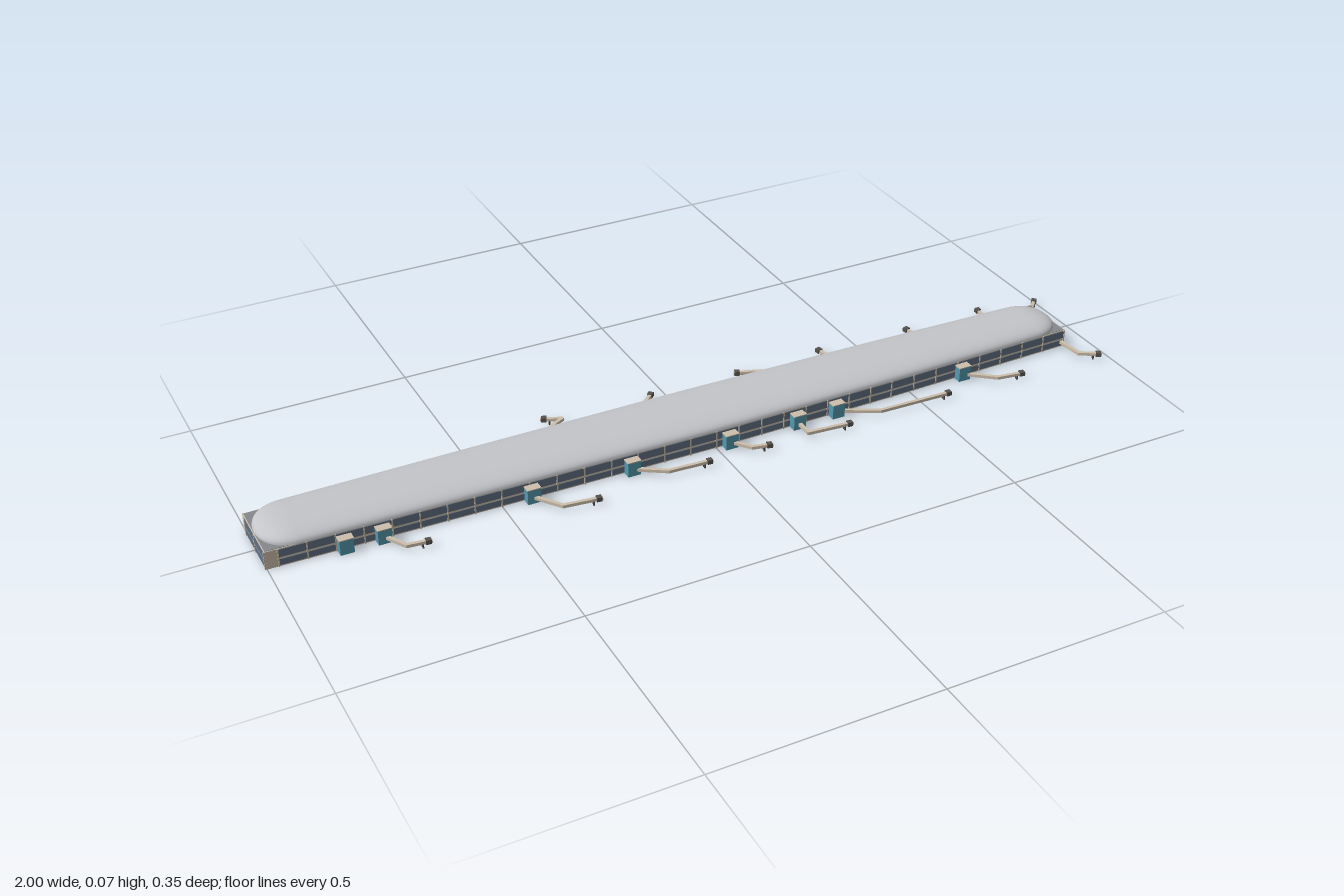
import * as THREE from 'three';

const mat = (name, color, side = THREE.FrontSide) => {
  const m = new THREE.MeshStandardMaterial({ color, side });
  m.name = name;
  return m;
};
const cream = mat('cream wall', 0xcdbfab);
const glass = mat('window blue grey', 0x5f7084);
const teal = mat('gate glass teal', 0x5498ae);
const roofGrey = mat('light roof grey', 0xc4c5c9, THREE.DoubleSide);
const slabGrey = mat('flat roof grey', 0x85888c, THREE.DoubleSide);
const dark = mat('dark metal', 0x55524e);

const X0 = -1, X1 = 0.935;
const WALL_TOP = 0.042;

// Plan outline of the slightly bowed hall: [x, back z, front z]
const PLAN = [
  [-1, -0.074, 0.073], [-0.5, -0.079, 0.083], [0, -0.08, 0.089],
  [0.45, -0.074, 0.084], [0.935, -0.061, 0.071],
];
function edge(x, k) {
  let i = 0;
  while (i < PLAN.length - 2 && x > PLAN[i + 1][0]) i++;
  const a = PLAN[i], b = PLAN[i + 1];
  return THREE.MathUtils.lerp(a[k], b[k], (x - a[0]) / (b[0] - a[0]));
}

// Upright bar between two plan points, from height y0 to y1
function bar(parent, name, a, b, y0, y1, t, material, extra = 0) {
  const dx = b[0] - a[0], dz = b[1] - a[1];
  const m = new THREE.Mesh(
    new THREE.BoxGeometry(Math.hypot(dx, dz) + extra, y1 - y0, t), material);
  m.position.set((a[0] + b[0]) / 2, (y0 + y1) / 2, (a[1] + b[1]) / 2);
  m.rotation.y = -Math.atan2(dz, dx);
  m.name = name;
  parent.add(m);
  return m;
}

// Wall with two window bands and regular mullions
function facade(parent, a, b, bays, blank) {
  const at = (t) => [a[0] + (b[0] - a[0]) * t, a[1] + (b[1] - a[1]) * t];
  bar(parent, 'wall', a, b, 0, WALL_TOP, 0.004, cream);
  const s = blank / Math.hypot(b[0] - a[0], b[1] - a[1]);
  // glass only on the outer face
  const dx = b[0] - a[0], dz = b[1] - a[1], l = Math.hypot(dx, dz);
  const n = [-dz / l * 0.002, dx / l * 0.002];
  const out = (p) => [p[0] + n[0], p[1] + n[1]];
  const p = out(at(s)), q = out(at(1));
  bar(parent, 'lowerWindows', p, q, 0.003, 0.017, 0.002, glass);
  bar(parent, 'upperWindows', p, q, 0.022, 0.04, 0.002, glass);
  for (let i = 0; i <= bays; i++) {
    const c = out(at(s + (1 - s) * i / bays));
    bar(parent, 'mullion', c, [c[0] + dx / l * 1e-4, c[1] + dz / l * 1e-4],
      0, WALL_TOP, 0.004, cream, 0.003);
  }
}

// Domed roof: rounded cross-sections lofted along x
function roofGeometry() {
  const xs = [], R = 0.075, ends = 10, mid = 24, N = 24;
  for (let i = 0; i < ends; i++) xs.push(X0 + R * (1 - Math.cos(i / ends * Math.PI / 2)));
  for (let i = 0; i <= mid; i++) xs.push(X0 + R + (X1 - X0 - 2 * R) * i / mid);
  for (let i = ends - 1; i >= 0; i--) xs.push(X1 - R * (1 - Math.cos(i / ends * Math.PI / 2)));
  const pos = [], idx = [];
  xs.forEach((x, i) => {
    const d = Math.min(1, Math.min(x - X0, X1 - x) / R);
    const f = Math.max(0.02, Math.pow(1 - Math.pow(1 - d, 2.2), 1 / 2.2));
    const zb = edge(x, 1) - 0.003, zf = edge(x, 2) + 0.004;
    const c = (zb + zf) / 2, w = (zf - zb) / 2 * f;
    for (let j = 0; j <= N; j++) {
      const t = j / N * Math.PI, co = Math.cos(t);
      const z = c + w * Math.sign(co) * Math.pow(Math.abs(co), 0.85);
      pos.push(x, WALL_TOP + 0.001 + 0.0255 * f * Math.pow(Math.max(0, Math.sin(t)), 0.85), z);
      if (i && j) {
        const k = i * (N + 1) + j, p = k - N - 1;
        idx.push(p - 1, k - 1, k, p - 1, k, p);
      }
    }
  });
  const g = new THREE.BufferGeometry();
  g.setAttribute('position', new THREE.Float32BufferAttribute(pos, 3));
  g.setIndex(idx);
  g.computeVertexNormals();
  return g;
}

// Boarding bridge along plan points, with a cab and legs at the far end
function bridge(parent, pts) {
  const g = new THREE.Group();
  g.name = 'boardingBridge';
  for (let i = 1; i < pts.length; i++)
    bar(g, 'tunnel', pts[i - 1], pts[i], 0.009, 0.016, 0.008, cream, 0.004);
  const e = pts[pts.length - 1], p = pts[pts.length - 2];
  const l = Math.hypot(e[0] - p[0], e[1] - p[1]);
  const u = [(e[0] - p[0]) / l, (e[1] - p[1]) / l];
  const back = (d) => [e[0] - u[0] * d, e[1] - u[1] * d];
  bar(g, 'cab', back(0.012), e, 0.008, 0.018, 0.012, dark);
  for (const s of [-1, 1]) {
    const c = back(0.018);
    const leg = new THREE.Mesh(new THREE.BoxGeometry(0.003, 0.01, 0.003), dark);
    leg.position.set(c[0] - u[1] * s * 0.003, 0.005, c[1] + u[0] * s * 0.003);
    leg.name = 'leg';
    g.add(leg);
  }
  parent.add(g);
}

export function createModel() {
  const model = new THREE.Group();
  model.name = 'terminalConcourse';

  // Long walls, then the two ends
  const walls = new THREE.Group();
  walls.name = 'walls';
  for (let i = 1; i < PLAN.length; i++) {
    const a = PLAN[i - 1], b = PLAN[i];
    facade(walls, [a[0], a[2]], [b[0], b[2]], 8, i === 1 ? 0.025 : 0);
    facade(walls, [b[0], b[1]], [a[0], a[1]], 8, 0);
  }
  const A = PLAN[0], B = PLAN[PLAN.length - 1];
  facade(walls, [B[0], B[2]], [B[0], B[1]], 2, 0);
  facade(walls, [A[0], A[1]], [A[0], A[2]], 2, 0.015);
  model.add(walls);

  // Flat roof slab under the dome
  const shape = new THREE.Shape([
    ...PLAN.map((p) => new THREE.Vector2(p[0], -p[2])),
    ...[...PLAN].reverse().map((p) => new THREE.Vector2(p[0], -p[1])),
  ]);
  const slab = new THREE.Mesh(
    new THREE.ExtrudeGeometry(shape, { depth: 0.003, bevelEnabled: false }), slabGrey);
  slab.rotation.x = -Math.PI / 2;
  slab.position.y = WALL_TOP - 0.002;
  slab.name = 'flatRoof';
  model.add(slab);

  const roof = new THREE.Mesh(roofGeometry(), roofGrey);
  roof.name = 'domedRoof';
  model.add(roof);

  // Gate towers against the long walls
  const gate = (x, k) => {
    const s = k === 2 ? 1 : -1, z = edge(x, k) + s * 0.011;
    const box = new THREE.Mesh(new THREE.BoxGeometry(0.03, 0.034, 0.022), teal);
    box.position.set(x, 0.017, z);
    box.name = 'gateTower';
    const cap = new THREE.Mesh(new THREE.BoxGeometry(0.032, 0.002, 0.024), cream);
    cap.position.set(x, 0.035, z);
    cap.name = 'gateRoof';
    model.add(box, cap);
  };
  [-0.84, -0.76, -0.435, -0.205, 0.03, 0.2, 0.3, 0.64].forEach((x) => gate(x, 2));
  [-0.84, -0.675, -0.47, -0.29, -0.12, 0.255, 0.65, 0.745].forEach((x) => gate(x, 1));

  // Boarding bridges: front, back, then the +x end
  [
    [[-0.76, 0.09], [-0.73, 0.142], [-0.68, 0.148]],
    [[-0.435, 0.1], [-0.393, 0.158], [-0.31, 0.168]],
    [[-0.205, 0.1], [-0.14, 0.142], [-0.04, 0.148]],
    [[0.03, 0.1], [0.062, 0.142], [0.105, 0.152]],
    [[0.2, 0.1], [0.2, 0.147], [0.305, 0.156]],
    [[0.3, 0.095], [0.388, 0.142], [0.57, 0.147]],
    [[0.64, 0.09], [0.703, 0.142], [0.768, 0.152]],
    [[-0.29, -0.09], [-0.295, -0.132], [-0.258, -0.152], [-0.3, -0.172]],
    [[-0.12, -0.09], [-0.075, -0.12], [-0.035, -0.158]],
    [[0.255, -0.09], [0.232, -0.131], [0.175, -0.152]],
    [[0.41, -0.075], [0.41, -0.11], [0.398, -0.158]],
    [[0.65, -0.075], [0.634, -0.148]],
    [[0.745, -0.08], [0.838, -0.122], [0.84, -0.148]],
    [[0.928, 0.068], [0.934, 0.137], [0.978, 0.164]],
    [[0.932, -0.06], [0.992, -0.122]],
  ].forEach((pts) => bridge(model, pts));

  return model;
}
